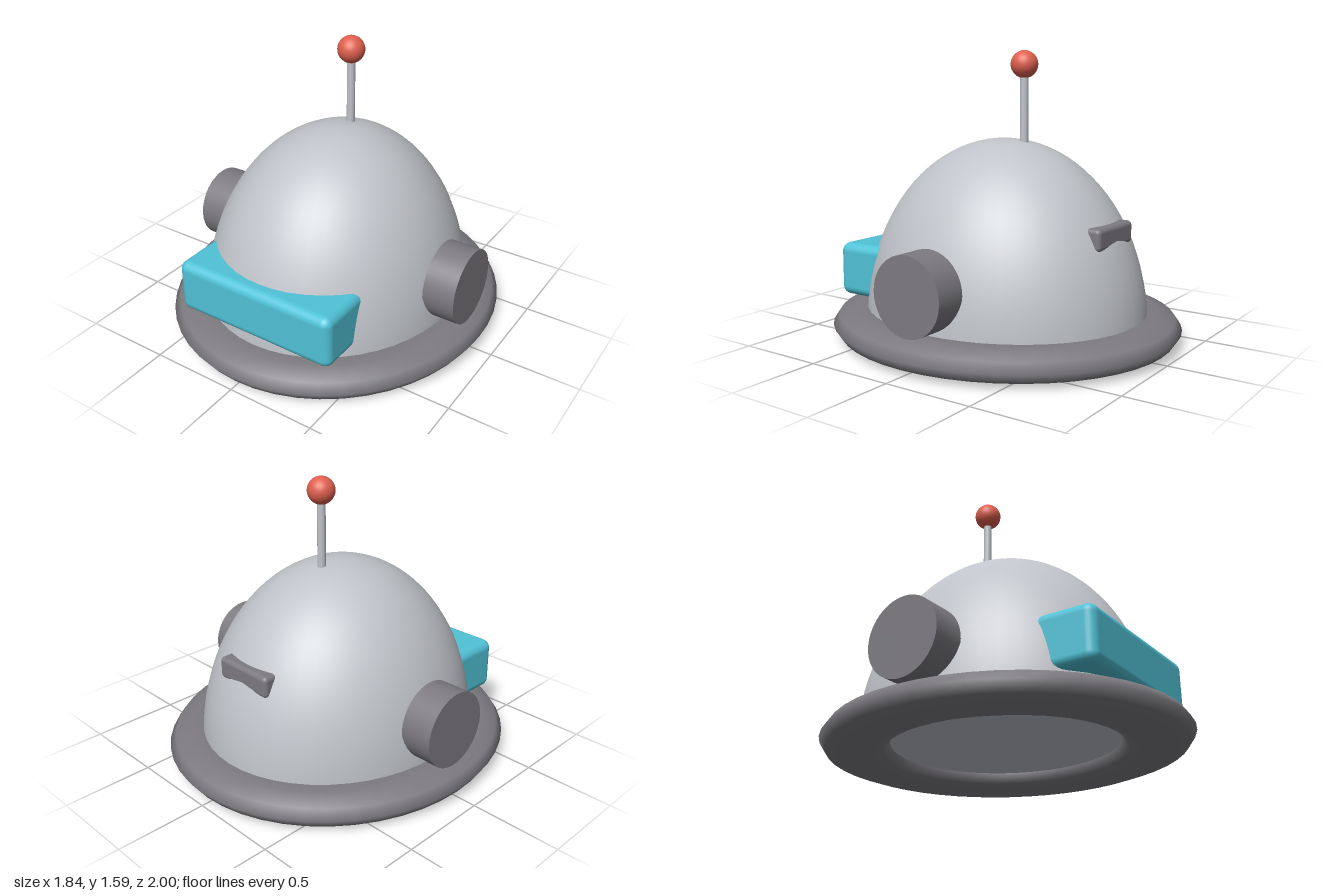
import * as THREE from 'three';
import { RoundedBoxGeometry } from 'three/addons/geometries/RoundedBoxGeometry.js';

const material = (name, color) => {
  const m = new THREE.MeshStandardMaterial({ color });
  m.name = name;
  return m;
};

export function createModel() {
  const shell = material('light grey shell', 0xc0c3c9);
  const trim = material('dark grey trim', 0x7d7b80);
  const glass = material('cyan visor', 0x50c2d7);
  const red = material('red bulb', 0xe0604f);

  const model = new THREE.Group();
  model.name = 'domeHelmet';
  const add = (name, geometry, mat, x = 0, y = 0, z = 0) => {
    const mesh = new THREE.Mesh(geometry, mat);
    mesh.name = name;
    mesh.position.set(x, y, z);
    model.add(mesh);
    return mesh;
  };

  // Half-ellipsoid dome, closed underneath by a flat disc
  const BASE = 0.085;
  const dome = new THREE.SphereGeometry(1, 48, 24, 0, Math.PI * 2, 0, Math.PI / 2);
  add('dome', dome, shell, 0, BASE).scale.set(0.725, 1.027, 0.815);
  const floor = new THREE.CircleGeometry(1, 48).rotateX(Math.PI / 2);
  add('domeFloor', floor, shell, 0, BASE).scale.set(0.725, 1, 0.815);

  // Flattened oval brim
  const brim = new THREE.TorusGeometry(0.81, 0.19, 10, 48).rotateX(Math.PI / 2);
  add('brim', brim, trim, 0, BASE).scale.set(0.92, 0.47, 1);

  // Round ear pods
  for (const [side, name] of [[1, 'leftEarPod'], [-1, 'rightEarPod']]) {
    const pod = new THREE.CylinderGeometry(0.21, 0.21, 0.18, 40).rotateZ(Math.PI / 2);
    add(name, pod, trim, side * 0.76, 0.39, 0);
  }

  // Visor block sunk into the front of the dome
  add('visor', new RoundedBoxGeometry(0.97, 0.3, 0.365, 4, 0.05), glass, 0, 0.36, 0.635);

  // Small grip sunk into the back of the dome
  add('backGrip', new RoundedBoxGeometry(0.365, 0.12, 0.12, 4, 0.025), trim, 0, 0.635, -0.64);

  // Antenna
  add('antennaStem', new THREE.CylinderGeometry(0.023, 0.023, 0.41, 16), shell, 0, 1.265, -0.125);
  add('antennaBulb', new THREE.SphereGeometry(0.075, 24, 16), red, 0, 1.515, -0.125);

  return model;
}
